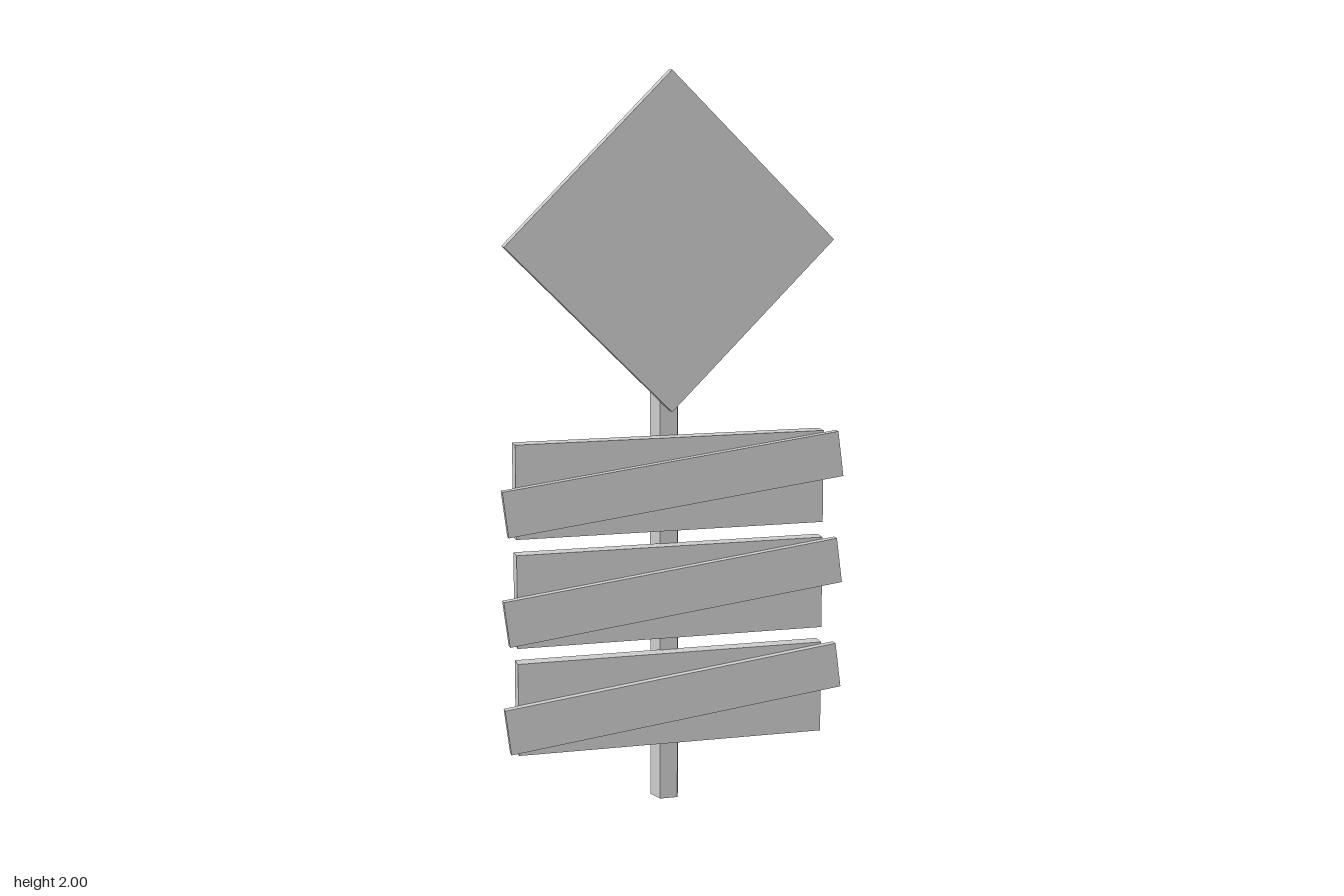
import * as THREE from 'three';

const material = new THREE.MeshStandardMaterial({ color: 0xcccccc, flatShading: true });

function addPart(group, name, geometry, x, y, z) {
  const mesh = new THREE.Mesh(geometry, material);
  mesh.name = name;
  mesh.position.set(x, y, z);
  group.add(mesh);
  return mesh;
}

export function createModel() {
  const group = new THREE.Group();
  group.name = 'signpost';
  const centreX = -0.005;

  // five-sided post with its flat side to the front
  const postHeight = 1.63;
  const post = addPart(group, 'post',
    new THREE.CylinderGeometry(0.042, 0.042, postHeight, 5), centreX, postHeight / 2, -0.026);
  post.rotation.y = Math.PI;

  // diamond sign: a square plate standing on its corner
  const side = 0.453 * Math.SQRT2;
  const sign = addPart(group, 'diamondSign',
    new THREE.BoxGeometry(side, side, 0.036), centreX, 1.547, 0.026);
  sign.rotation.z = Math.PI / 4;

  // three wide boards, each crossed by a slanted plank
  for (let i = 0; i < 3; i++) {
    const y = 0.299 + i * 0.299;
    addPart(group, 'board', new THREE.BoxGeometry(0.86, 0.256, 0.043), centreX, y, 0.0245);
    const plank = addPart(group, 'slantedPlank',
      new THREE.BoxGeometry(0.943, 0.126, 0.022), 0, y + 0.005, 0.057);
    plank.rotation.z = THREE.MathUtils.degToRad(7.3);
  }

  return group;
}
